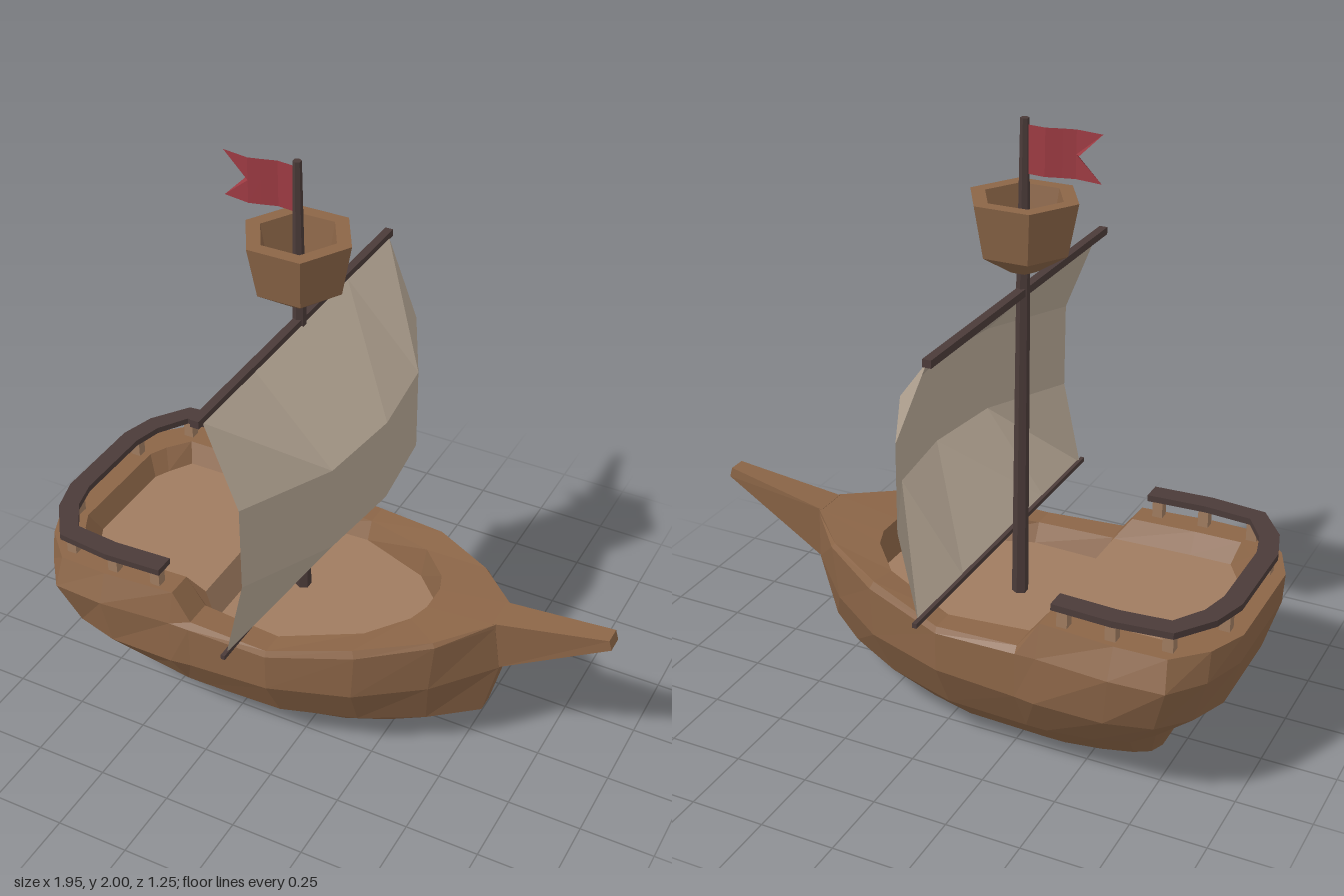
import * as THREE from 'three';

const mat = (color, side = THREE.FrontSide) =>
  new THREE.MeshStandardMaterial({ color, side, flatShading: true, roughness: 0.9 });
const wood = mat(0x8b6547), planks = mat(0xa07c60), dark = mat(0x4b3b39);
const canvas = mat(0xb5a694, THREE.DoubleSide), red = mat(0x9c3a42, THREE.DoubleSide);

// Faceted surface through rows of points; flip picks the other diagonal of a quad
function grid(rows, closed = false, flip = () => false) {
  const pos = [];
  const n = rows[0].length;
  for (let r = 0; r < rows.length - 1; r++) {
    for (let i = 0; i < (closed ? n : n - 1); i++) {
      const j = (i + 1) % n;
      const a = rows[r][i], b = rows[r][j], c = rows[r + 1][j], d = rows[r + 1][i];
      pos.push(...(flip(r, i) ? [a, b, d, b, c, d] : [a, b, c, a, c, d]).flat());
    }
  }
  const g = new THREE.BufferGeometry();
  g.setAttribute('position', new THREE.Float32BufferAttribute(pos, 3));
  g.computeVertexNormals();
  return g;
}

// Half outline from stern to bow, and its mirror
const half = (ys, xs, zs) => xs.map((x, i) => [x, Array.isArray(ys) ? ys[i] : ys, zs[i]]);
const mirror = (h) => h.map(([x, y, z]) => [x, y, -z]);
const loop = (h) => [...h, ...mirror(h).reverse()];

export function createModel() {
  const model = new THREE.Group();
  const add = (name, geometry, material, x = 0, y = 0, z = 0) => {
    const m = new THREE.Mesh(geometry, material);
    m.name = name;
    m.position.set(x, y, z);
    model.add(m);
    return m;
  };

  // Hull outlines from the keel up, over the rim and down to the deck
  const keel = half(0,
    [-0.69, -0.67, -0.62, -0.52, -0.4, -0.33, -0.05, 0.1, 0.23, 0.32],
    [0.07, 0.12, 0.15, 0.18, 0.2, 0.2, 0.19, 0.15, 0.09, 0.03]);
  const bilge = half(0.14,
    [-0.75, -0.72, -0.66, -0.55, -0.4, -0.33, -0.05, 0.2, 0.4, 0.55],
    [0.13, 0.22, 0.29, 0.33, 0.35, 0.35, 0.34, 0.26, 0.15, 0.03]);
  const waist = half([0.3, 0.3, 0.3, 0.3, 0.3, 0.3, 0.31, 0.32, 0.33, 0.36],
    [-0.92, -0.87, -0.78, -0.63, -0.4, -0.33, -0.05, 0.22, 0.43, 0.605],
    [0.18, 0.31, 0.41, 0.45, 0.45, 0.44, 0.43, 0.35, 0.21, 0.04]);
  const wale = half([0.47, 0.47, 0.47, 0.47, 0.46, 0.455, 0.445, 0.49, 0.52, 0.54],
    [-0.97, -0.92, -0.83, -0.65, -0.4, -0.33, -0.05, 0.23, 0.45, 0.59],
    [0.2, 0.35, 0.465, 0.475, 0.445, 0.44, 0.43, 0.35, 0.215, 0.06]);
  const rimOuter = half([0.57, 0.57, 0.57, 0.57, 0.57, 0.478, 0.465, 0.515, 0.535, 0.555],
    [-0.975, -0.92, -0.82, -0.65, -0.4, -0.33, -0.05, 0.22, 0.44, 0.59],
    [0.2, 0.33, 0.43, 0.435, 0.415, 0.425, 0.42, 0.34, 0.21, 0.06]);
  const rimInner = half([0.57, 0.57, 0.57, 0.57, 0.57, 0.478, 0.465, 0.505, 0.52, 0.525],
    [-0.87, -0.84, -0.78, -0.62, -0.4, -0.33, -0.05, 0.21, 0.32, 0.345],
    [0.2, 0.26, 0.335, 0.335, 0.325, 0.33, 0.34, 0.24, 0.12, 0.05]);
  const floor = half([0.5, 0.5, 0.5, 0.5, 0.5, 0.4, 0.4, 0.4, 0.4, 0.4],
    [-0.835, -0.81, -0.76, -0.62, -0.35, -0.31, -0.05, 0.2, 0.31, 0.335],
    [0.17, 0.22, 0.3, 0.3, 0.29, 0.3, 0.31, 0.22, 0.11, 0.04]);
  add('hull', grid([keel, bilge, waist, wale, rimOuter, rimInner, floor].map(loop), true), wood);
  add('hullBottom', grid([mirror(keel), keel]), wood);
  add('deck', grid([floor, mirror(floor)]), planks);

  // Bowsprit: a box tapered and raised towards its tip
  const sprit = new THREE.BoxGeometry(2, 2, 2);
  const p = sprit.attributes.position;
  for (let i = 0; i < p.count; i++) {
    const tip = p.getX(i) > 0, top = p.getY(i) > 0, s = Math.sign(p.getZ(i));
    if (tip) p.setXYZ(i, top ? 0.96 : 0.97, top ? 0.615 : 0.58, s * 0.03);
    else p.setXYZ(i, top ? 0.58 : 0.6, top ? 0.555 : 0.36, s * (top ? 0.06 : 0.04));
  }
  sprit.computeVertexNormals();
  add('bowsprit', sprit, wood);

  // Stern rail bent around the back, on small posts
  const outer = [[-0.44, 0.425], [-0.64, 0.435], [-0.83, 0.415], [-0.92, 0.29], [-0.955, 0.17]];
  const inner = [[-0.44, 0.355], [-0.64, 0.365], [-0.8, 0.35], [-0.865, 0.25], [-0.89, 0.15]];
  const flipZ = (pts) => pts.map(([x, z]) => [x, -z]);
  const outline = [...outer, ...flipZ(outer).reverse(), ...flipZ(inner), ...[...inner].reverse()];
  const rail = new THREE.ExtrudeGeometry(
    new THREE.Shape(outline.map(([x, z]) => new THREE.Vector2(x, z))),
    { depth: 0.022, bevelEnabled: false });
  rail.rotateX(-Math.PI / 2);
  add('sternRail', rail, dark, 0, 0.633, 0);
  for (const [x, z] of [[-0.915, 0.19], [-0.805, 0.375], [-0.63, 0.395], [-0.47, 0.39]]) {
    for (const s of [1, -1]) {
      add('railPost', new THREE.BoxGeometry(0.035, 0.08, 0.035), planks, x, 0.6, s * z);
    }
  }

  // Mast and yards
  const mx = -0.14;
  add('mast', new THREE.CylinderGeometry(0.021, 0.027, 1.16, 6), dark, mx, 0.97, 0);
  add('topmast', new THREE.CylinderGeometry(0.014, 0.02, 0.48, 6), dark, mx, 1.76, 0);
  add('upperYard', new THREE.BoxGeometry(0.028, 0.025, 1.25), dark, mx, 1.456, 0);
  add('lowerYard', new THREE.BoxGeometry(0.014, 0.016, 1.25), dark, -0.085, 0.59, 0);

  // Crow's nest: six-sided bowl with a thick wall
  const bowl = [[0.001, 1.525], [0.045, 1.525], [0.147, 1.59], [0.18, 1.76],
    [0.13, 1.76], [0.105, 1.62], [0.001, 1.62]].map(([r, y]) => new THREE.Vector2(r, y));
  add('crowsNest', new THREE.LatheGeometry(bowl, 6, Math.PI / 2), wood, mx, 0, 0);

  // Sail bellied forward between the yards
  const zs = [0.6, 0.3, 0, -0.3, -0.6];
  const belly = [-0.02, 0.13, 0.165, 0.13, -0.02];
  const sailRows = [[0.59, -0.085], [0.88], [1.17], [1.45, -0.128]].map(([y, x]) =>
    zs.map((z, i) => [x ?? belly[i], y, z]));
  add('sail', grid(sailRows, false, (r, i) => (r < 2) !== (i < 2)), canvas);

  // Swallow-tailed flag with a slight wave
  const fx = [-0.145, -0.21, -0.26, -0.3, -0.39];
  const fz = [0, -0.008, 0.006, 0.015, 0];
  const flagRows = [1.83, 1.905, 1.98].map((y, r) =>
    fx.map((x, i) => [r === 1 && i === 4 ? -0.315 : x, y, fz[i]]));
  add('flag', grid(flagRows, false, (r) => r === 0), red);

  return model;
}
